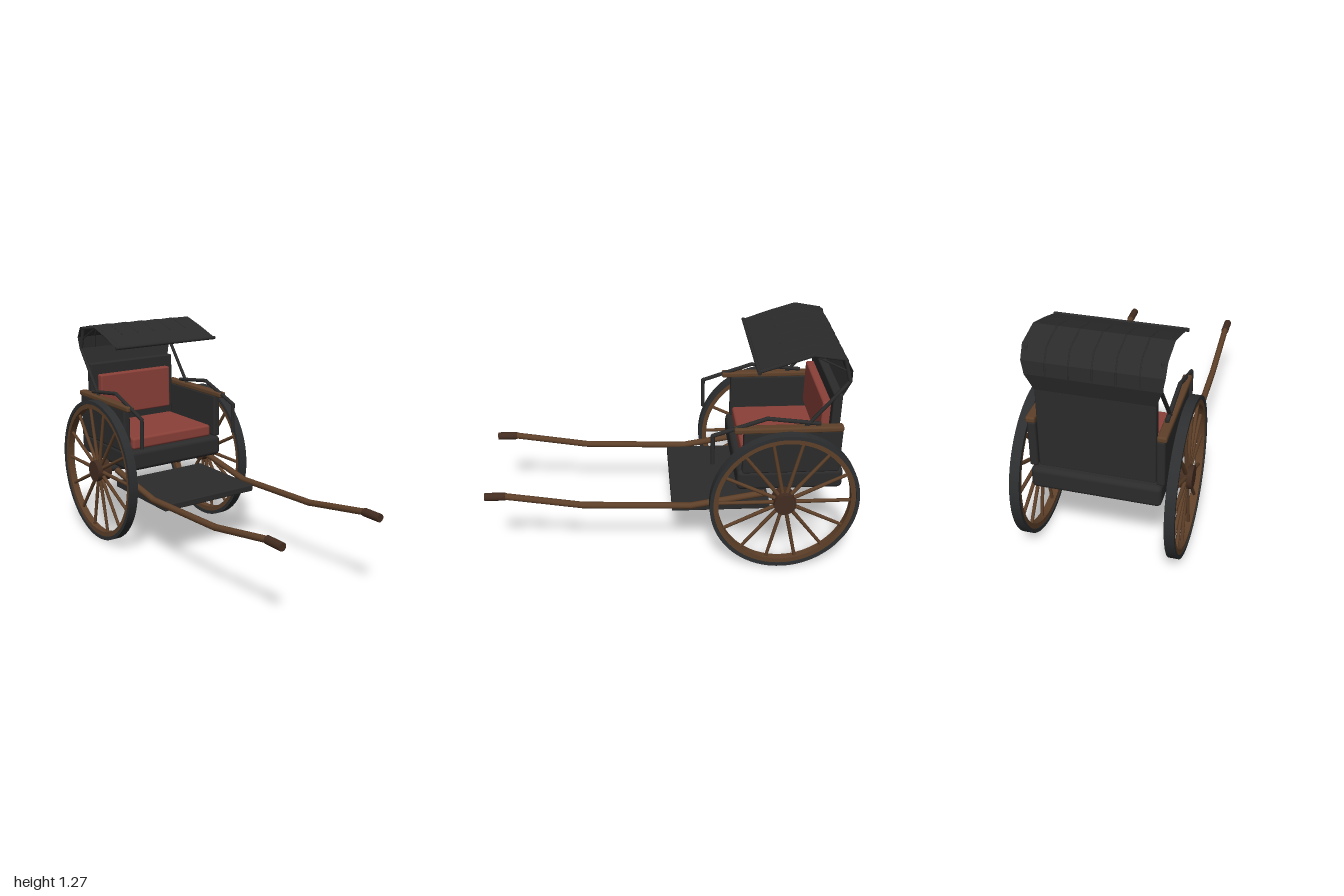
import * as THREE from 'three';
import { RoundedBoxGeometry } from 'three/addons/geometries/RoundedBoxGeometry.js';

const mat = (color, extra = {}) => new THREE.MeshStandardMaterial({ color, ...extra });

export function createModel() {
  const root = new THREE.Group();
  const black = mat(0x2a2b2a), tyreMat = mat(0x2c2e2f), red = mat(0x8a4038);
  const wood = mat(0x5e4029), darkWood = mat(0x432c20);
  const cloth = mat(0x2a2b2a, { side: THREE.DoubleSide, flatShading: true });

  const add = (parent, name, geo, material) => {
    const m = new THREE.Mesh(geo, material);
    m.name = name;
    parent.add(m);
    return m;
  };
  // Rounded box given by its extents on each axis
  const block = (name, [x0, x1], [y0, y1], [z0, z1], r, material) => {
    const g = new RoundedBoxGeometry(x1 - x0, y1 - y0, z1 - z0, 3, r);
    g.translate((x0 + x1) / 2, (y0 + y1) / 2, (z0 + z1) / 2);
    return add(root, name, g, material);
  };
  // Round bar through a list of points, with ball joints at the bends
  const bar = (name, pts, r, material, sides = 10) => {
    const group = new THREE.Group();
    group.name = name;
    const v = pts.map(p => new THREE.Vector3(...p));
    for (let i = 0; i < v.length - 1; i++) {
      const dir = v[i + 1].clone().sub(v[i]);
      const seg = add(group, name + 'Segment', new THREE.CylinderGeometry(r, r, dir.length(), sides), material);
      seg.position.copy(v[i]).addScaledVector(dir, 0.5);
      seg.quaternion.setFromUnitVectors(new THREE.Vector3(0, 1, 0), dir.normalize());
      if (i > 0) add(group, name + 'Joint', new THREE.SphereGeometry(r, sides, 8), material).position.copy(v[i]);
    }
    root.add(group);
    return group;
  };
  // Ring of rectangular section about the y axis
  const ring = (rIn, rOut, w) => {
    const p = [[rIn, -w], [rOut, -w], [rOut, w], [rIn, w], [rIn, -w]];
    const shape = new THREE.Shape().absarc(0, 0, rOut, 0, Math.PI * 2);
    shape.holes.push(new THREE.Path().absarc(0, 0, rIn, 0, Math.PI * 2, true));
    const g = new THREE.ExtrudeGeometry(shape, { depth: p[2][1] * 2, bevelEnabled: false, curveSegments: 56 });
    g.translate(0, 0, -w);
    return g.rotateY(Math.PI / 2);
  };

  // Body
  block('seatBase', [-0.325, 0.325], [0.457, 0.575], [-0.917, -0.347], 0.025, black);
  block('seatCushion', [-0.272, 0.272], [0.575, 0.645], [-0.83, -0.38], 0.015, red);
  block('backrest', [-0.29, 0.29], [0.57, 1.012], [-0.878, -0.83], 0.008, black);
  block('backCushion', [-0.245, 0.245], [0.69, 0.945], [-0.835, -0.787], 0.01, red);
  block('footboard', [-0.305, 0.305], [0.32, 0.358], [-0.535, 0], 0.006, black);

  // Axle
  bar('axle', [[-0.35, 0.42, -0.595], [0.35, 0.42, -0.595]], 0.02, black, 16);

  for (const s of [-1, 1]) {
    const side = (a, b) => s > 0 ? [a, b] : [-b, -a];
    block('sidePanel', side(0.293, 0.336), [0.57, 0.825], [-0.89, -0.37], 0.012, black);
    block('armrest', side(0.295, 0.343), [0.818, 0.85], [-0.89, -0.32], 0.01, wood);

    // Pulling shaft and its grip
    const x = s * 0.315;
    bar('shaft', [[x, 0.455, 0.95], [x, 0.455, 0.89], [x, 0.385, 0.48], [x, 0.362, -0.1], [x, 0.432, -0.5]], 0.018, wood);
    bar('shaftGrip', [[x, 0.455, 1], [x, 0.455, 0.89]], 0.022, darkWood, 14);

    // Handrail and hood bow
    bar('handrail', [[x, 0.63, -0.213], [x, 0.8, -0.21], [x, 0.895, -0.49], [x, 0.858, -0.77]], 0.011, black);
    bar('hoodBow', [[x, 0.84, -0.69], [x, 0.868, -0.715], [x, 1.1, -0.897], [x, 1.225, -0.862], [x, 1.25, -0.7], [x, 1.165, -0.435]], 0.01, black);
    bar('hoodStay', [[x, 1.25, -0.7], [x, 1.15, -0.895]], 0.005, black, 6);

    // Wheel
    const wheel = new THREE.Group();
    wheel.name = 'wheel';
    wheel.position.set(s * 0.384, 0.42, -0.597);
    wheel.scale.set(1, 1.045, 1);
    add(wheel, 'tyre', ring(0.382, 0.402, 0.025), tyreMat);
    add(wheel, 'rim', ring(0.356, 0.383, 0.02), wood);
    add(wheel, 'hub', new THREE.CylinderGeometry(0.06, 0.06, 0.088, 24).rotateZ(Math.PI / 2), darkWood).position.x = -s * 0.008;
    const spokes = 14;
    for (let i = 0; i < spokes; i++) {
      const g = new THREE.CylinderGeometry(0.009, 0.011, 0.32, 8);
      g.translate(0, 0.205, 0).rotateX(Math.PI / 2 + i / spokes * Math.PI * 2);
      add(wheel, 'spoke', g, wood);
    }
    root.add(wheel);
  }

  // Hood cloth: half width, height and depth of each cross line
  const hood = [[0.337, 1.168, -0.43], [0.337, 1.218, -0.57], [0.337, 1.262, -0.715],
    [0.337, 1.235, -0.86], [0.335, 1.17, -0.9], [0.322, 1.1, -0.905], [0.287, 1.0, -0.876]];
  const pos = [], index = [];
  hood.forEach(([w, y, z], i) => {
    pos.push(-w, y, z, w, y, z);
    const a = i * 2;
    if (i) index.push(a - 2, a - 1, a, a - 1, a + 1, a);
  });
  const hoodGeo = new THREE.BufferGeometry();
  hoodGeo.setAttribute('position', new THREE.Float32BufferAttribute(pos, 3));
  hoodGeo.setIndex(index);
  hoodGeo.computeVertexNormals();
  add(root, 'hoodCloth', hoodGeo, cloth);

  // Hood edge bar and ribs
  bar('hoodFrontBar', [[-0.34, 1.166, -0.432], [0.34, 1.166, -0.432]], 0.01, black);
  for (let i = -2; i <= 2; i++) {
    bar('hoodRib', hood.slice(1, 6).map(([, y, z]) => [i * 0.11, y - 0.001, z]), 0.004, black, 6);
  }
  return root;
}
